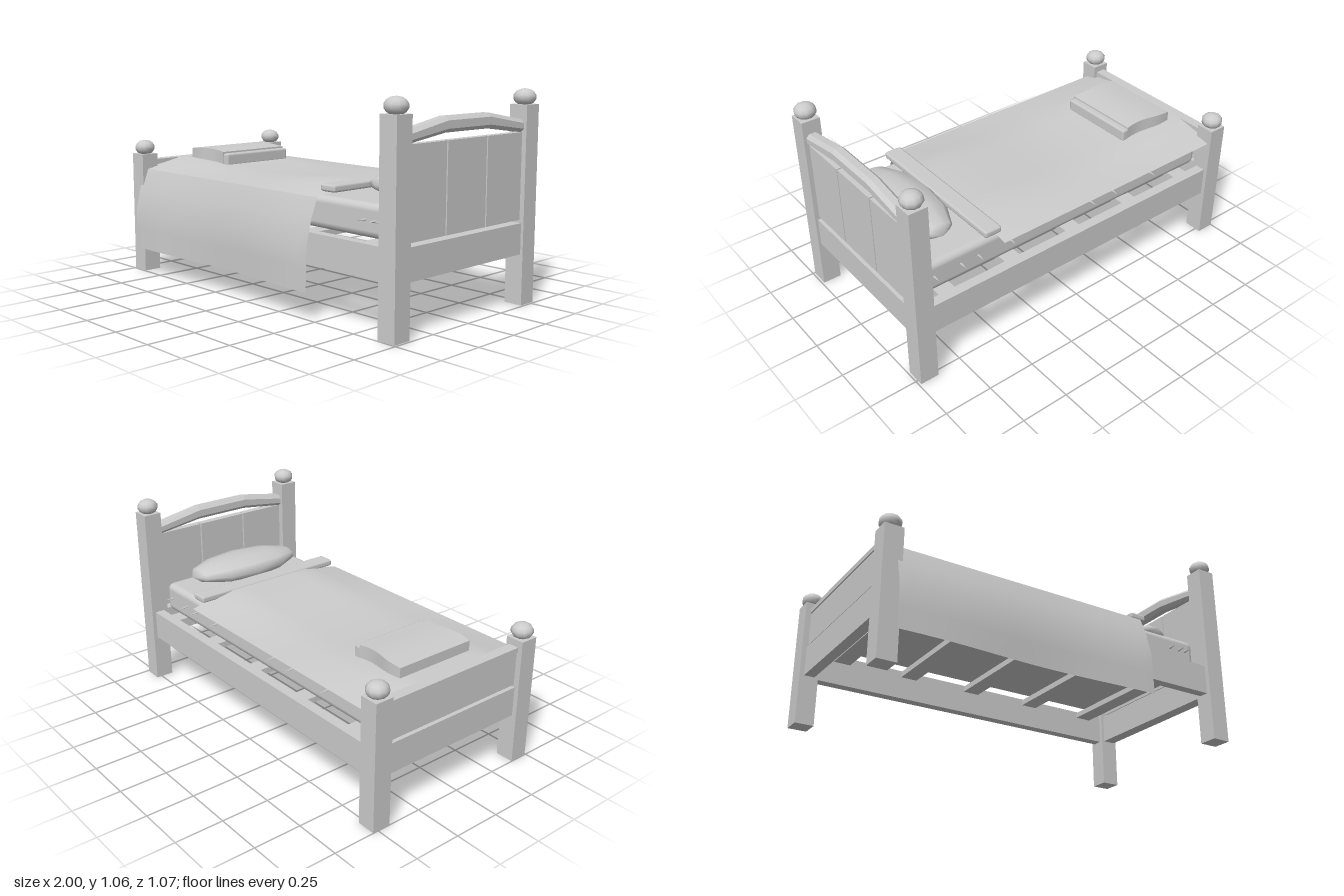
import * as THREE from 'three';
import { RoundedBoxGeometry } from 'three/addons/geometries/RoundedBoxGeometry.js';

const MID_Z = -0.018; // centre line of the bed frame
const POST_Z = [0.445, -0.48];

export function createModel() {
  const bed = new THREE.Group();
  bed.name = 'bed';
  const grey = new THREE.MeshStandardMaterial({ color: 0xcccccc, side: THREE.DoubleSide });
  grey.name = 'paleGrey';

  const add = (name, geometry, x = 0, y = 0, z = 0) => {
    const mesh = new THREE.Mesh(geometry, grey);
    mesh.name = name;
    mesh.position.set(x, y, z);
    bed.add(mesh);
    return mesh;
  };
  // Box given by its limits on each axis
  const block = (name, [x0, x1], [y0, y1], [z0, z1]) =>
    add(name, new THREE.BoxGeometry(x1 - x0, y1 - y0, z1 - z0),
      (x0 + x1) / 2, (y0 + y1) / 2, (z0 + z1) / 2);

  // Surface through a row of cross-sections; point(u, v) gives [x, y, z]
  const sheet = (name, nu, nv, point) => {
    const positions = [], index = [];
    for (let i = 0; i <= nu; i++) {
      for (let j = 0; j <= nv; j++) {
        positions.push(...point(i / nu, j / nv));
        if (i < nu && j < nv) {
          const a = i * (nv + 1) + j, b = a + nv + 1;
          index.push(a, a + 1, b, b, a + 1, b + 1);
        }
      }
    }
    const g = new THREE.BufferGeometry();
    g.setAttribute('position', new THREE.Float32BufferAttribute(positions, 3));
    g.setIndex(index);
    g.computeVertexNormals();
    return add(name, g);
  };

  // Posts with rounded knobs
  for (const z of POST_Z) {
    for (const [name, x, top] of [['foot', -0.95, 0.66], ['head', 0.94, 0.985]]) {
      block(name + 'Post', [x - 0.049, x + 0.049], [0, top], [z - 0.049, z + 0.049]);
      const knob = add(name + 'Knob', new THREE.SphereGeometry(0.056, 10, 7), x, top + 0.034, z);
      knob.scale.y = 0.75;
    }
  }

  // Side rails and slats
  block('frontRail', [-0.91, 0.9], [0.255, 0.41], [0.42, 0.47]);
  block('backRail', [-0.91, 0.9], [0.255, 0.41], [-0.508, -0.455]);
  for (let i = -2; i <= 2; i++) {
    block('slat', [i * 0.385 - 0.045, i * 0.385 + 0.045], [0.375, 0.405], [-0.46, 0.425]);
  }

  // Headboard: lower rail, three panels, arched top
  block('headRail', [0.905, 0.975], [0.255, 0.41], [-0.44, 0.405]);
  for (const span of [[0.135, 0.405], [-0.155, 0.127], [-0.44, -0.163]]) {
    block('headPanel', [0.925, 0.965], [0.425, 0.853], span);
  }
  const arch = new THREE.Shape([
    [-0.43, 0.87], [-0.17, 0.905], [0.14, 0.905], [0.395, 0.87],
    [0.395, 0.897], [0.14, 0.942], [-0.17, 0.942], [-0.43, 0.897],
  ].map(([z, y]) => new THREE.Vector2(z, y)));
  const archGeometry = new THREE.ExtrudeGeometry(arch, {
    depth: 0.034, bevelEnabled: true, bevelSize: 0.018, bevelThickness: 0.018, bevelSegments: 1,
  });
  archGeometry.rotateY(-Math.PI / 2);
  add('headArch', archGeometry, 0.957);

  // Footboard: lower rail, panel and cap
  block('footRail', [-0.975, -0.92], [0.255, 0.41], [-0.44, 0.405]);
  block('footPanel', [-0.968, -0.928], [0.422, 0.6], [-0.44, 0.405]);
  block('footCap', [-0.975, -0.92], [0.6, 0.625], [-0.44, 0.405]);

  // Mattress with straws poking out of its sides
  add('mattress', new RoundedBoxGeometry(1.79, 0.16, 0.83, 2, 0.035), -0.01, 0.495, -0.015);
  const straw = new THREE.ConeGeometry(0.01, 0.06, 5);
  straw.rotateX(Math.PI / 2);
  for (const x of [0.72, 0.78, 0.82]) add('straw', straw, x, 0.5, 0.415);
  for (const x of [0.82, 0.67, 0.57, 0.38, -0.13, -0.28, -0.55]) {
    add('straw', straw, x, 0.5, -0.445).rotation.y = Math.PI;
  }

  // Blanket: wavy top and a long drape over the front side
  const blanketX = u => -0.925 + 1.4 * u;
  sheet('blanketTop', 24, 12, (u, v) => {
    const x = blanketX(u), z = -0.51 + 0.97 * v;
    const crown = Math.min(1, 4 * v, 4 * (1 - v));
    const wave = 0.613 + 0.015 * Math.cos((x + 0.9) * 4.62) - 0.577;
    return [x, 0.577 + wave * crown, z];
  });
  const drape = [[0.46, 0.577], [0.495, 0.48], [0.523, 0.355], [0.523, 0.25], [0.523, 0.14]];
  sheet('blanketDrape', 24, drape.length - 1, (u, v) => {
    const [z, y] = drape[Math.round(v * (drape.length - 1))];
    const x = blanketX(u);
    return [x, y, z + 0.011 * v * Math.cos((x + 0.75) * 5.2)];
  });
  add('turnedDownFold', new RoundedBoxGeometry(0.095, 0.036, 0.88, 1, 0.012), 0.498, 0.618, -0.02);

  // Pillow: faceted oval pointing along the width of the bed
  const pillow = new THREE.SphereGeometry(1, 10, 6);
  pillow.rotateX(Math.PI / 2);
  pillow.scale(0.16, 0.066, 0.343);
  add('pillow', pillow, 0.712, 0.643, -0.018);

  // Folded throw with wavy sides and a rolled edge
  const throwGeometry = new THREE.BoxGeometry(0.29, 0.075, 0.44, 8, 1, 4);
  const p = throwGeometry.attributes.position;
  for (let i = 0; i < p.count; i++) {
    const x = p.getX(i), z = p.getZ(i);
    p.setZ(i, z * (1 + 0.04 * Math.cos((x + 0.08) * 20)) + 0.03 * x);
    if (p.getY(i) > 0) p.setY(i, p.getY(i) + 0.01 * Math.cos(x * 11));
  }
  throwGeometry.computeVertexNormals();
  add('foldedThrow', throwGeometry, -0.705, 0.642, -0.028);
  add('throwEdge', new RoundedBoxGeometry(0.045, 0.068, 0.435, 1, 0.012), -0.548, 0.637, -0.026);

  return bed;
}
